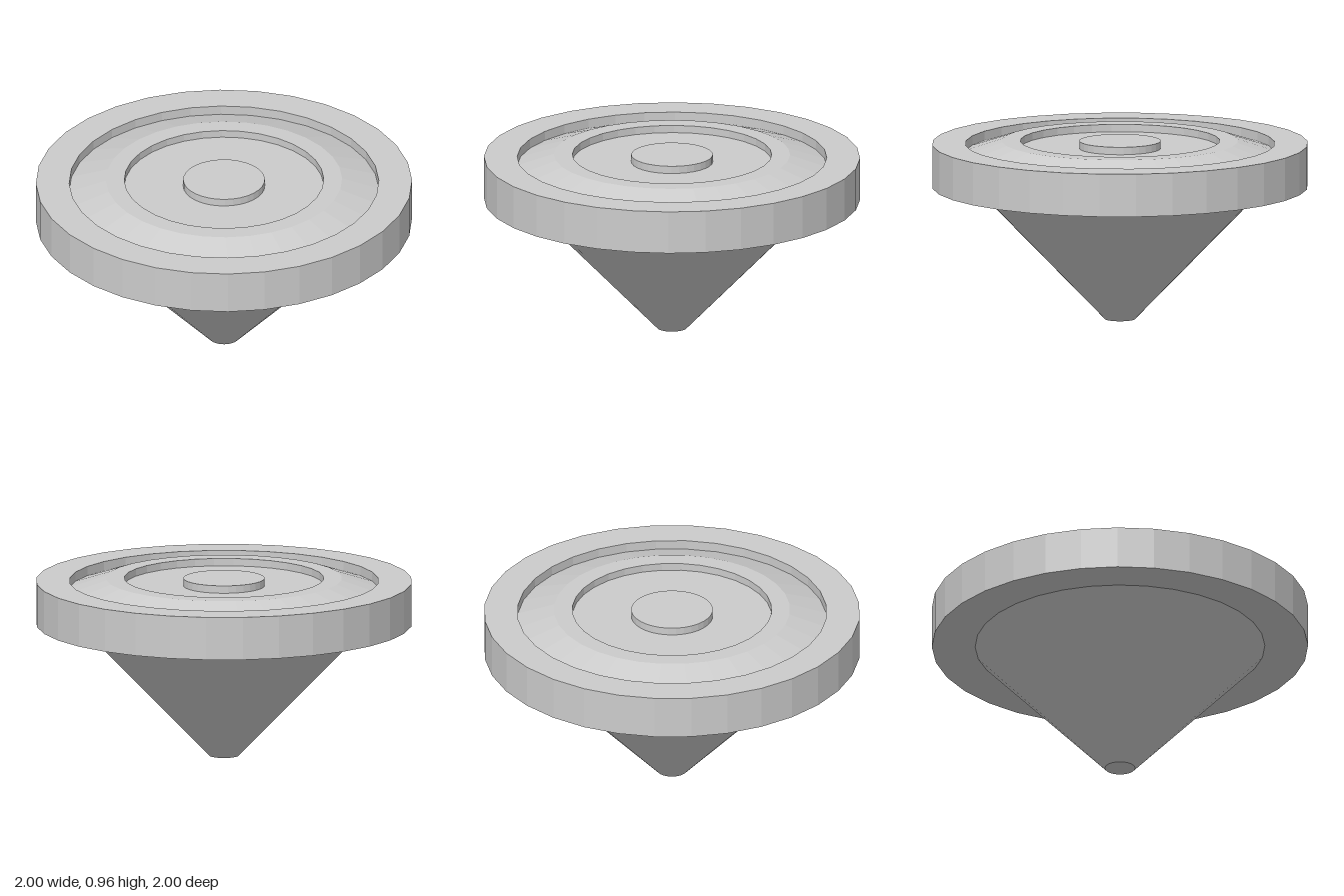
import * as THREE from 'three';

const SIDES = 32;

export function createModel() {
  const group = new THREE.Group();
  const material = new THREE.MeshStandardMaterial({ color: 0xcccccc, flatShading: true });

  // Turned part: profile of [radius, height] running up the outside, then inwards
  const turned = (name, profile) => {
    const points = profile.map(([r, y]) => new THREE.Vector2(r, y));
    const mesh = new THREE.Mesh(new THREE.LatheGeometry(points, SIDES), material);
    mesh.name = name;
    group.add(mesh);
  };

  // Tapered body with a small flat tip
  turned('coneBody', [[0, 0], [0.08, 0], [0.77, 0.715]]);

  // Heavy outer rim, with its inner wall dropping into the dish
  turned('outerRim', [[0.77, 0.715], [1, 0.715], [1, 0.945], [0.823, 0.945], [0.823, 0.895]]);

  // Sloped ring rising to a flat crest, then the recessed floor
  turned('raisedRing', [[0.823, 0.895], [0.628, 0.96], [0.53, 0.96], [0.53, 0.92]]);
  turned('recessFloor', [[0.53, 0.92], [0.217, 0.92]]);

  // Central button
  turned('centreButton', [[0.217, 0.92], [0.217, 0.96], [0, 0.96]]);

  return group;
}
